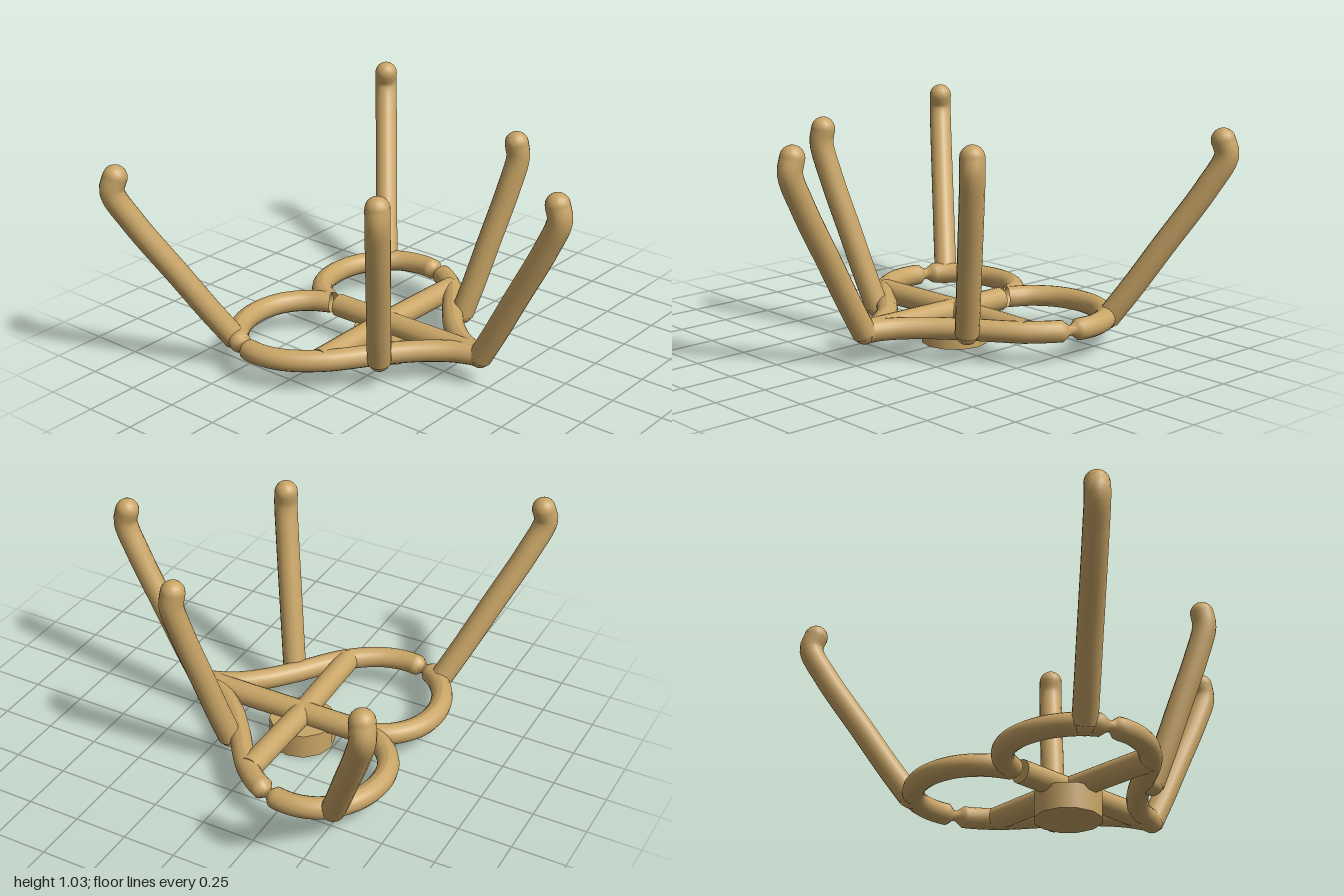
import * as THREE from 'three';

const Y = 0.147; // height of the base frame
const material = new THREE.MeshStandardMaterial({ color: 0xc9a566, side: THREE.DoubleSide });

function add(parent, name, geometry) {
  const mesh = new THREE.Mesh(geometry, material);
  mesh.name = name;
  parent.add(mesh);
  return mesh;
}

// Straight round bar between two points
function bar(parent, name, a, b, radius) {
  const dir = b.clone().sub(a);
  const mesh = add(parent, name, new THREE.CylinderGeometry(radius, radius, dir.length(), 16));
  mesh.position.copy(a).lerp(b, 0.5);
  mesh.quaternion.setFromUnitVectors(new THREE.Vector3(0, 1, 0), dir.normalize());
}

// Half of the heart ring, narrowed to a waist at the given pinch point
function heartHalf(parent, name, side, pinch) {
  const outline = [[0, -0.43], [0.055, -0.53], [0.16, -0.61], [0.3, -0.635], [0.45, -0.595],
    [0.57, -0.49], [0.61, -0.36], [0.585, -0.22], [0.48, -0.07], [0.26, 0.1],
    [0.14, 0.205], [0.05, 0.32], [0, 0.44]];
  const curve = new THREE.CatmullRomCurve3(outline.map(([x, z]) => new THREE.Vector3(side * x, Y, z)));
  const segments = 120, sides = 16;
  const geometry = new THREE.TubeGeometry(curve, segments, 0.05, sides);
  const pos = geometry.attributes.position;
  const v = new THREE.Vector3();
  for (let i = 0; i <= segments; i++) {
    const centre = curve.getPointAt(i / segments);
    const d = Math.hypot(centre.x - pinch[0], centre.z - pinch[1]);
    const scale = Math.min(1, 0.35 + d / 0.06);
    for (let j = 0; j <= sides; j++) {
      const k = i * (sides + 1) + j;
      v.fromBufferAttribute(pos, k).sub(centre).multiplyScalar(scale).add(centre);
      pos.setXYZ(k, v.x, v.y, v.z);
    }
  }
  geometry.computeVertexNormals();
  add(parent, name, geometry);
}

// Upright prong: leans outward, then curls in slightly at a rounded tip
function prong(parent, name, x, z, dx, dz) {
  const group = new THREE.Group();
  group.name = name;
  const profile = [[0, 0.14], [0.21, 0.29], [0.46, 0.48], [0.83, 0.76], [0.985, 0.91], [0.95, 0.975]];
  const points = profile.map(([t, y]) => new THREE.Vector3(x + dx * t, y, z + dz * t));
  const r = 0.055;
  add(group, 'stem', new THREE.TubeGeometry(new THREE.CatmullRomCurve3(points), 40, r, 16));
  for (const [label, p] of [['foot', points[0]], ['tip', points[points.length - 1]]]) {
    add(group, label, new THREE.SphereGeometry(label === 'foot' ? 0.05 : r, 16, 12)).position.copy(p);
  }
  parent.add(group);
}

export function createModel() {
  const model = new THREE.Group();
  model.name = 'heartHolder';

  // Heart-shaped ring
  heartHalf(model, 'heartLeft', 1, [0.595, -0.24]);
  heartHalf(model, 'heartRight', -1, [-0.6, -0.44]);

  // Hub and the four spokes
  add(model, 'hub', new THREE.CylinderGeometry(0.155, 0.155, 0.12, 12)).position.set(0, 0.06, -0.09);
  const centre = new THREE.Vector3(0, Y, -0.09);
  const ends = { spokeFront: [0, 0.45], spokeBack: [0, -0.38], spokeLeft: [0.485, -0.08], spokeRight: [-0.485, -0.08] };
  for (const [name, [x, z]] of Object.entries(ends)) {
    bar(model, name, centre, new THREE.Vector3(x, Y, z), 0.055);
  }

  // Five prongs
  prong(model, 'prongFront', 0, 0.45, 0, 0.4);
  for (const [label, s] of [['Left', 1], ['Right', -1]]) {
    prong(model, 'prongSide' + label, s * 0.31, 0.12, s * 0.2, 0.16);
    prong(model, 'prongBack' + label, s * 0.55, -0.535, s * 0.4, -0.325);
  }
  return model;
}
